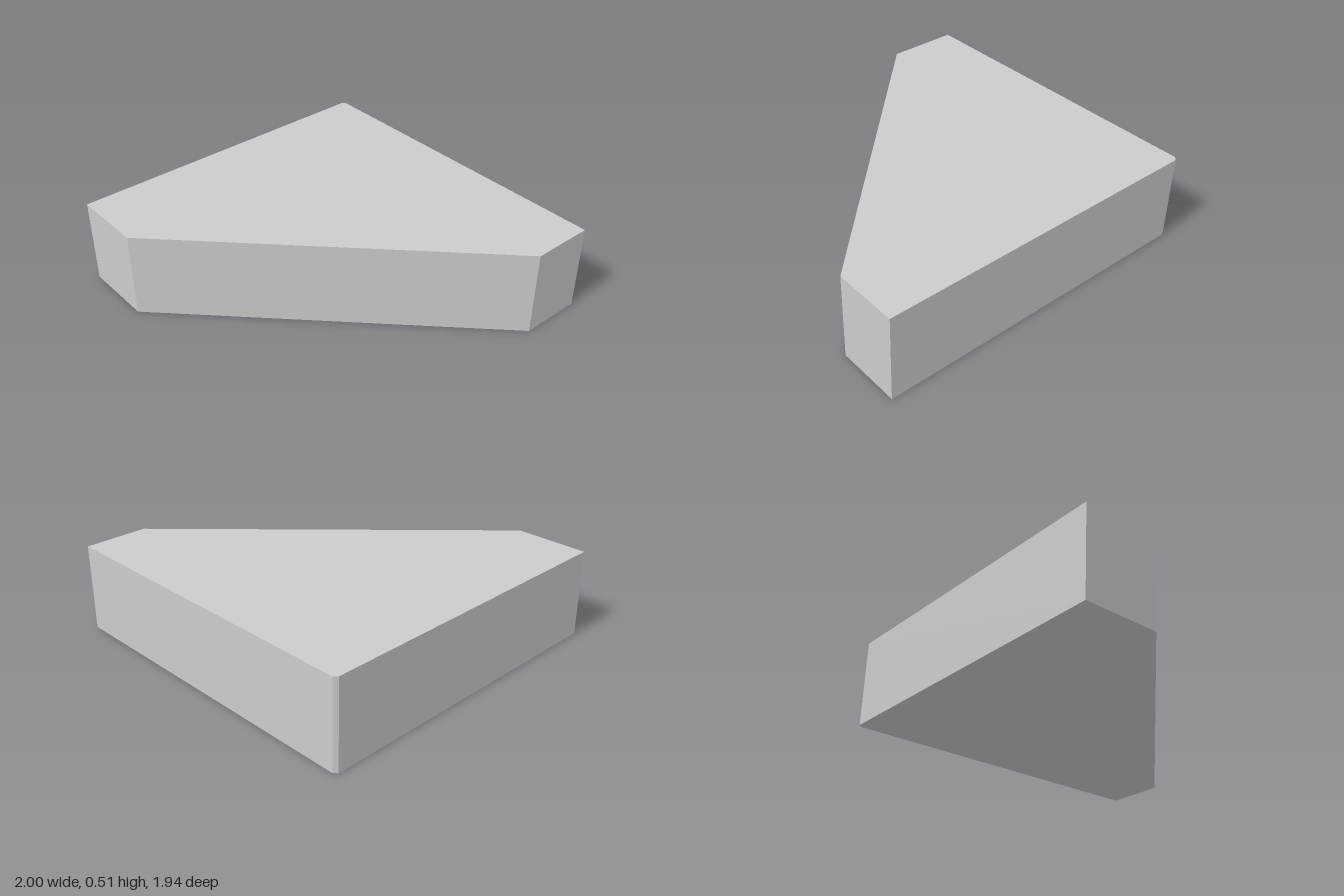
import * as THREE from 'three';

export function createModel() {
  const group = new THREE.Group();
  const height = 0.515;

  // Plan outline as [x, z]: a right-angled wedge with blunted corners
  const outline = [
    [-1, 0.97], [-0.565, 0.97], [1, -0.595],
    [1, -0.97], [-0.98, -0.97], [-1, -0.95],
  ];
  const shape = new THREE.Shape(outline.map(([x, z]) => new THREE.Vector2(x, -z)));

  // Extrude the plan upwards from the ground
  const geometry = new THREE.ExtrudeGeometry(shape, { depth: height, bevelEnabled: false });
  geometry.rotateX(-Math.PI / 2);

  const slab = new THREE.Mesh(
    geometry,
    new THREE.MeshStandardMaterial({ color: 0xcccccc, flatShading: true })
  );
  slab.name = 'cornerSlab';
  group.add(slab);
  return group;
}
